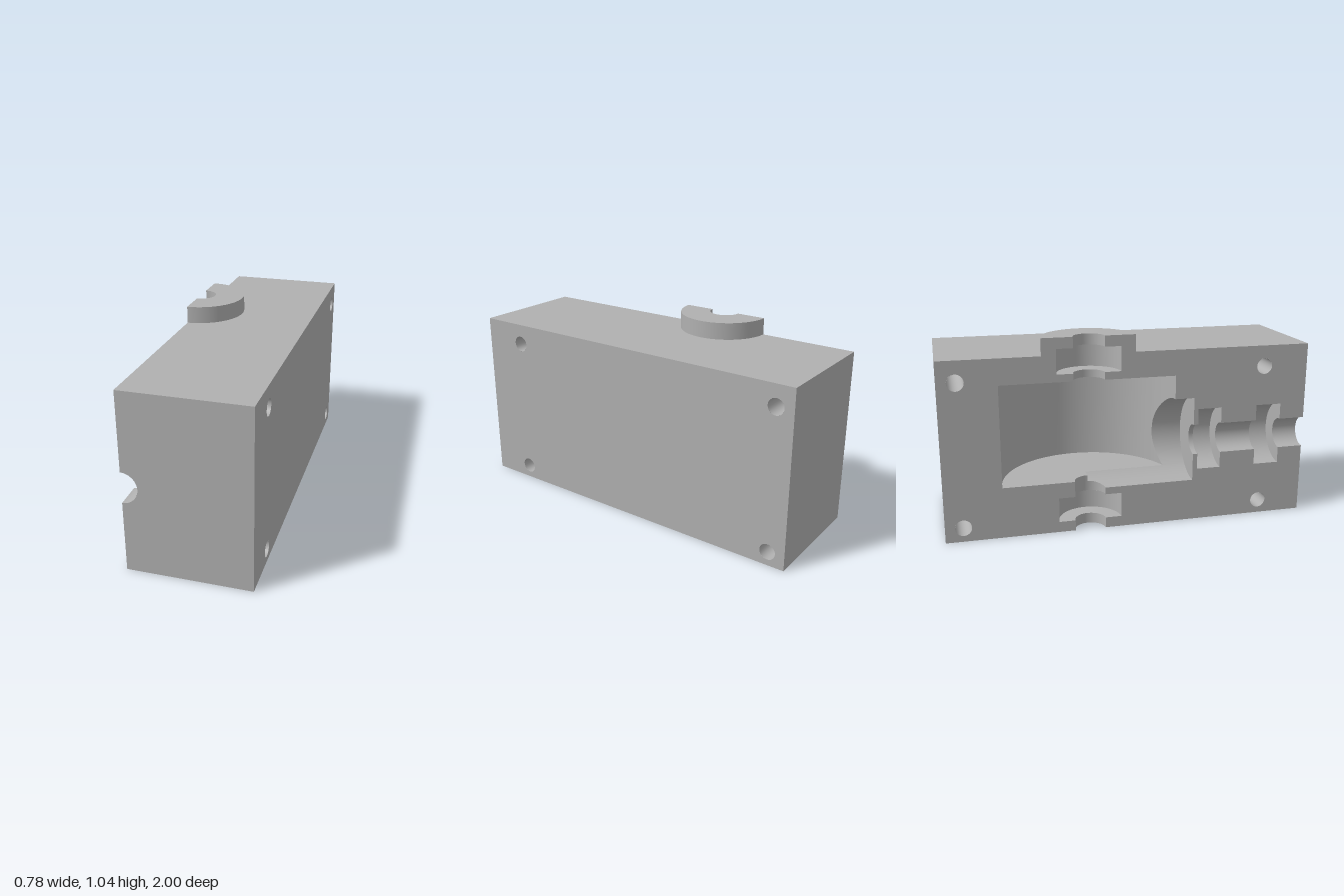
import * as THREE from 'three';
import { mergeGeometries } from 'three/addons/utils/BufferGeometryUtils.js';
import { ParametricGeometry } from 'three/addons/geometries/ParametricGeometry.js';

// Local frame: x = depth from the split plane, z = 0 on the upright gear axis
const DEPTH = 0.64, Z0 = -0.76, Z1 = 1.2, TOP = 0.952, BOSS_TOP = 1.042;
const BORE = 0.082, SEAT = 0.168, BOSS = 0.243;
const GEAR = 0.46, FLOOR = 0.275, CEILING = 0.815;      // upright gear chamber
const PINION = 0.23, AXIS = 0.458, PINION_END = 0.565;  // lying pinion chamber
const SCREW = 0.043, SCREW_Z = [-0.666, 0.955], SCREW_Y = [0.075, 0.84];
const HALF = Math.PI / 2;

// Shaft profiles as [radius, position along axis]
const lowerBore = [[BORE, 0], [BORE, 0.057], [SEAT, 0.057], [SEAT, 0.19], [BORE, 0.19]];
const upperBore = [[GEAR, CEILING], [BORE, CEILING], [BORE, 0.855], [SEAT, 0.855], [SEAT, 0.985],
  [BORE, 0.985], [BORE, BOSS_TOP], [BOSS, BOSS_TOP], [BOSS, TOP]];
const sideBore = [[PINION, PINION_END], [BORE, PINION_END], [BORE, 0.59], [SEAT, 0.59], [SEAT, 0.72],
  [BORE, 0.72], [BORE, 0.92], [SEAT, 0.92], [SEAT, 1.06], [BORE, 1.06], [BORE, Z1]];

// Half turning, one lathe per profile segment so that edges stay sharp
function halfTurn(profile) {
  return mergeGeometries(profile.slice(1).map((p, i) => new THREE.LatheGeometry(
    [new THREE.Vector2(...profile[i]), new THREE.Vector2(...p)], 40, 0, Math.PI)));
}

// Surface ruled between two curves, for t running from t0 to t1
function ruled(t0, t1, a, b) {
  const g = new ParametricGeometry((u, v, out) => {
    const t = t0 + (t1 - t0) * u;
    out.set(...a(t)).lerp(new THREE.Vector3(...b(t)), v);
  }, 32, 1);
  g.computeVertexNormals();
  return g;
}

// Polygon with round screw holes, lying in a plane of constant x
function sidePlate(points, holes, x) {
  const shape = new THREE.Shape(points.map(p => new THREE.Vector2(...p)));
  for (const [z, y] of holes) {
    shape.holes.push(new THREE.Path().absarc(z, y, SCREW, 0, Math.PI * 2, true));
  }
  return new THREE.ShapeGeometry(shape, 24).rotateY(-HALF).translate(x, 0, 0);
}

// Rectangle with a half-round notch in its x = 0 edge
function notchedPlate(v0, v1, centre, radius) {
  const s = new THREE.Shape();
  s.moveTo(0, v0).lineTo(DEPTH, v0).lineTo(DEPTH, v1).lineTo(0, v1);
  if (radius) s.lineTo(0, centre + radius).absarc(0, centre, radius, HALF, -HALF, true);
  return new THREE.ShapeGeometry(s, 40);
}

export function createModel() {
  const model = new THREE.Group();
  model.name = 'gearboxHousingHalf';
  const housing = new THREE.Group();
  housing.name = 'housing';
  const grey = new THREE.MeshStandardMaterial({ color: 0xb0b0b0, side: THREE.DoubleSide });
  grey.name = 'grey';
  const add = (name, ...parts) => {
    const mesh = new THREE.Mesh(parts.length > 1 ? mergeGeometries(parts) : parts[0], grey);
    mesh.name = name;
    housing.add(mesh);
  };

  // Outer walls
  const screws = SCREW_Z.flatMap(z => SCREW_Y.map(y => [z, y]));
  add('topWall', notchedPlate(Z0, Z1, 0, BOSS).rotateX(HALF).translate(0, TOP, 0));
  add('bottomWall', notchedPlate(Z0, Z1, 0, BORE).rotateX(HALF));
  add('frontWall', notchedPlate(0, TOP, AXIS, BORE).translate(0, 0, Z1));
  add('backWall', notchedPlate(0, TOP, 0, 0).translate(0, 0, Z0));
  add('outerSideWall', sidePlate([[Z0, 0], [Z1, 0], [Z1, TOP], [Z0, TOP]], screws, DEPTH));

  // Split face, in three pieces around the chambers
  const [lowBack, highBack, lowFront, highFront] = screws;
  const chamber = [[GEAR, FLOOR], [GEAR, CEILING]];
  add('splitFaceBack', sidePlate([
    ...[...lowerBore, [BORE, FLOOR], ...chamber, ...upperBore.slice(1)].map(([r, y]) => [-r, y]),
    [Z0, TOP], [Z0, 0]], [lowBack, highBack], 0));
  add('splitFaceUpper', sidePlate([
    ...upperBore, [Z1, TOP],
    ...[...sideBore].reverse().map(([r, z]) => [z, AXIS + r]),
    [GEAR, AXIS + PINION]], [highFront], 0));
  add('splitFaceLower', sidePlate([
    ...lowerBore, [BORE, AXIS - PINION],
    ...sideBore.map(([r, z]) => [z, AXIS - r]), [Z1, 0]], [lowFront], 0));

  // Bearing seats, shaft bores and boss
  add('lowerBearingSeat', halfTurn(lowerBore));
  add('upperBearingSeatAndBoss', halfTurn(upperBore));
  add('sideBearingSeats', halfTurn(sideBore).rotateX(HALF).translate(0, AXIS, 0));

  // Screw holes
  add('screwHoles', ...screws.map(([z, y]) =>
    new THREE.CylinderGeometry(SCREW, SCREW, DEPTH, 24, 1, true).rotateZ(HALF).translate(DEPTH / 2, y, z)));

  // Curves where the two chambers and the bore meet
  const root = (r, x) => Math.sqrt(Math.max(0, r * r - x * x));
  const dipY = x => AXIS - root(PINION, x);
  const round = (r, y) => t => [r * Math.sin(t), y, r * Math.cos(t)];
  const dipX = root(PINION, AXIS - FLOOR);
  const dipTurn = Math.asin(dipX / GEAR), pinionTurn = Math.asin(PINION / GEAR);
  const onWall = y => t => [GEAR * Math.sin(t), y(GEAR * Math.sin(t)), GEAR * Math.cos(t)];

  // Gear chamber wall, opened towards the pinion
  add('gearChamberWall',
    ruled(pinionTurn, Math.PI, round(GEAR, FLOOR), round(GEAR, CEILING)),
    ruled(0, pinionTurn, onWall(x => AXIS + root(PINION, x)), round(GEAR, CEILING)),
    ruled(dipTurn, pinionTurn, round(GEAR, FLOOR), onWall(dipY)));

  // Gear chamber floor, with the step down to the pinion trough
  add('gearChamberFloor',
    ruled(HALF, Math.PI, round(BORE, FLOOR), round(GEAR, FLOOR)),
    ruled(dipTurn, HALF, t => [GEAR * Math.sin(t), FLOOR, 0], round(GEAR, FLOOR)));
  add('troughStep', ruled(BORE, dipX, x => [x, dipY(x), 0], x => [x, FLOOR, 0]));

  // Short bore between the lower seat and the chamber
  add('lowerBoreNeck',
    ruled(HALF, Math.PI, round(BORE, 0.19), round(BORE, FLOOR)),
    ruled(0, HALF, round(BORE, 0.19),
      t => [BORE * Math.sin(t), dipY(BORE * Math.sin(t)), BORE * Math.cos(t)]));

  // Pinion chamber: the trough under the floor, then the part beyond the gear wall
  const pinion = z => t => {
    const x = PINION * Math.cos(t);
    return [x, AXIS + PINION * Math.sin(t), z(x)];
  };
  const dipAngle = -Math.asin((AXIS - FLOOR) / PINION);
  add('pinionChamber',
    ruled(-HALF, dipAngle, pinion(x => root(BORE, x)), pinion(() => PINION_END)),
    ruled(dipAngle, HALF, pinion(x => root(GEAR, x)), pinion(() => PINION_END)));

  housing.position.set(-DEPTH / 2, 0, -(Z0 + Z1) / 2);
  model.add(housing);

  // The whole block stands turned by four degrees
  const turned = new THREE.Group();
  turned.name = 'turnedHousing';
  turned.rotation.y = THREE.MathUtils.degToRad(4);
  turned.add(housing);
  model.add(turned);
  return model;
}
